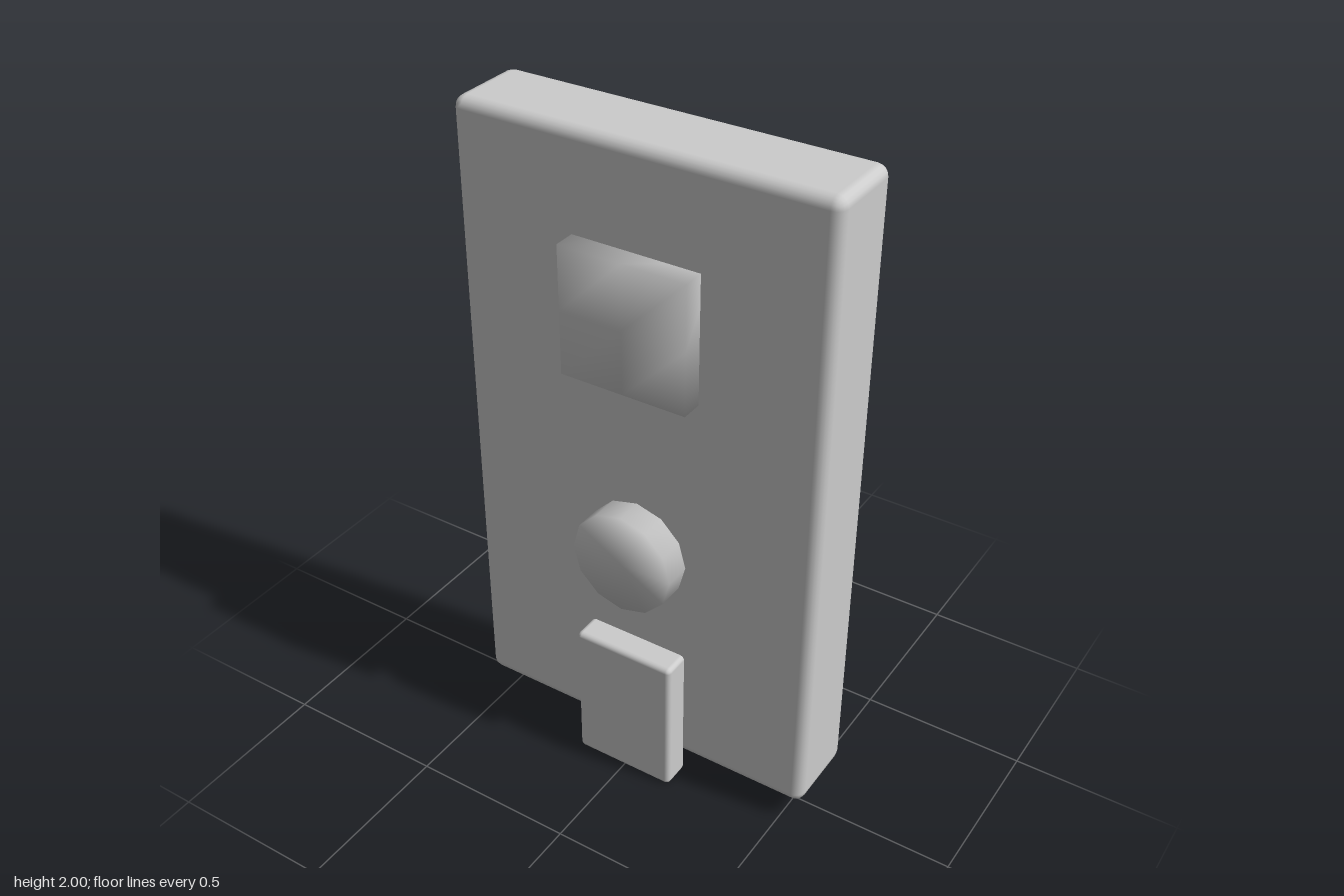
import * as THREE from 'three';
import { mergeVertices } from 'three/addons/utils/BufferGeometryUtils.js';
import { RoundedBoxGeometry } from 'three/addons/geometries/RoundedBoxGeometry.js';

// Weld corners so shading rolls smoothly over every edge
function soften(geometry) {
  geometry.deleteAttribute('normal');
  geometry.deleteAttribute('uv');
  const welded = mergeVertices(geometry, 1e-4);
  welded.computeVertexNormals();
  return welded;
}

export function createModel() {
  const group = new THREE.Group();
  const grey = new THREE.MeshStandardMaterial({ color: 0xcccccc });
  grey.name = 'lightGrey';

  const add = (name, geometry, y, z) => {
    const mesh = new THREE.Mesh(geometry, grey);
    mesh.name = name;
    mesh.position.set(0, y, z);
    group.add(mesh);
  };

  // Upright slab with softly rounded edges
  add('body', new RoundedBoxGeometry(1.124, 1.93, 0.254, 2, 0.032), 1.035, -0.041);

  // Square button near the top
  add('squareButton', soften(new THREE.BoxGeometry(0.386, 0.382, 0.13, 2, 2, 1)), 1.519, 0.087);

  // Twelve-sided round button
  const round = new THREE.CylinderGeometry(0.16, 0.16, 0.14, 12).rotateX(Math.PI / 2);
  add('roundButton', soften(round), 0.778, 0.098);

  // Small tab hanging below the slab
  add('bottomTab', new RoundedBoxGeometry(0.322, 0.455, 0.094, 2, 0.015), 0.2275, 0.121);

  return group;
}
